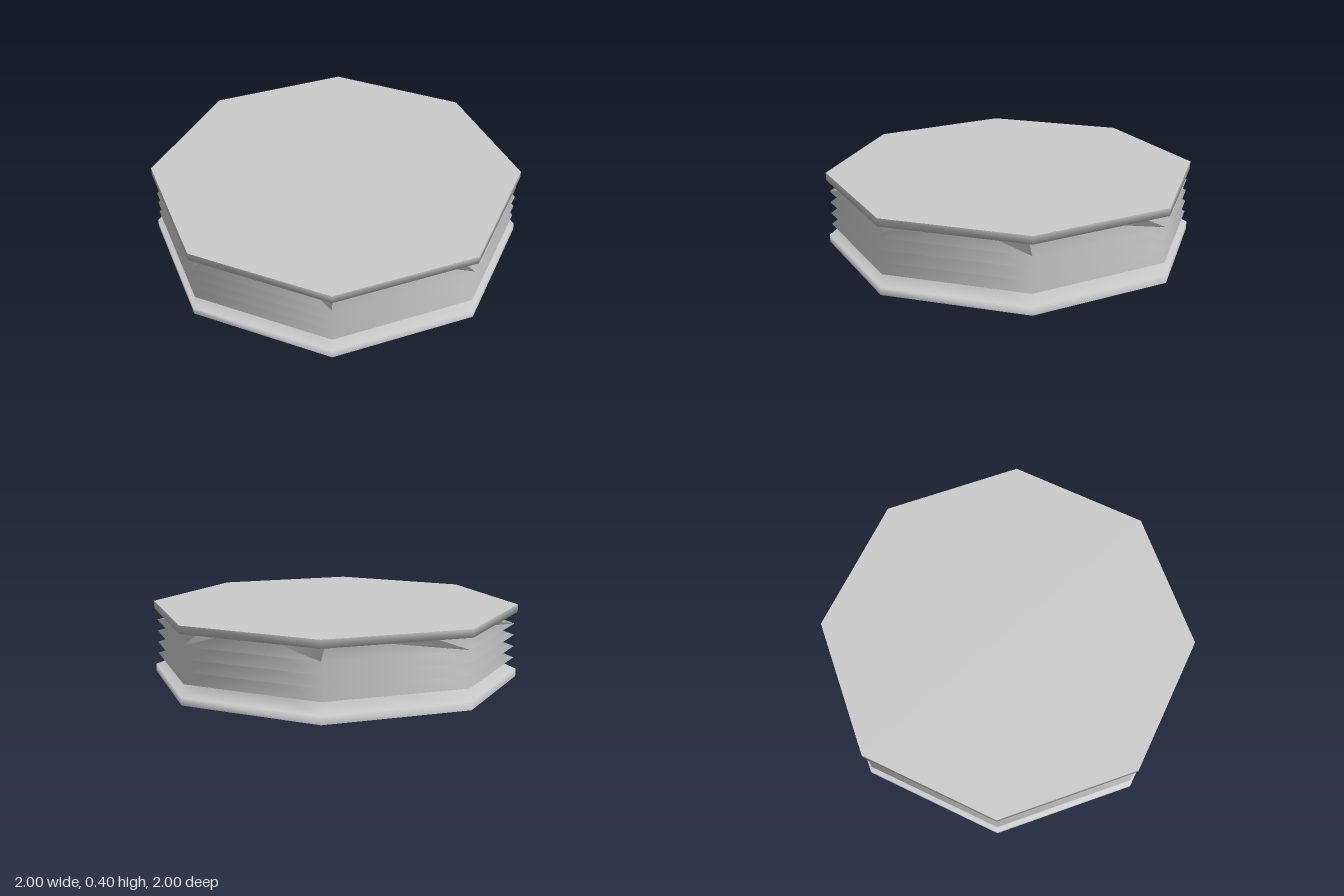
import * as THREE from 'three';

const SIDES = 8;
const HEIGHT = 0.4;
const PLATE = 0.042; // height of each end plate's rim
const FOLDS = 5;

export function createModel() {
  const group = new THREE.Group();
  group.name = 'bellows';
  const material = new THREE.MeshStandardMaterial({ color: 0xcccccc });

  const add = (name, geometry) => {
    const mesh = new THREE.Mesh(geometry, material);
    mesh.name = name;
    group.add(mesh);
    return mesh;
  };

  // Pleated wall: rim, alternating valleys and ridges, rim
  const profile = [new THREE.Vector2(1, 0), new THREE.Vector2(1, PLATE)];
  const pitch = (HEIGHT - 2 * PLATE) / FOLDS;
  for (let i = 0; i < FOLDS; i++) {
    const y = PLATE + i * pitch;
    profile.push(new THREE.Vector2(0.62, y + pitch / 2));
    if (i < FOLDS - 1) profile.push(new THREE.Vector2(0.985, y + pitch));
  }
  profile.push(new THREE.Vector2(1, HEIGHT - PLATE), new THREE.Vector2(1, HEIGHT));
  add('pleatedWall', new THREE.LatheGeometry(profile, SIDES));

  // Flat octagonal end faces
  for (const [name, y, tilt] of [['topFace', HEIGHT, -1], ['bottomFace', 0, 1]]) {
    const face = new THREE.CircleGeometry(1, SIDES);
    face.rotateX(tilt * Math.PI / 2);
    face.translate(0, y, 0);
    add(name, face);
  }
  return group;
}
